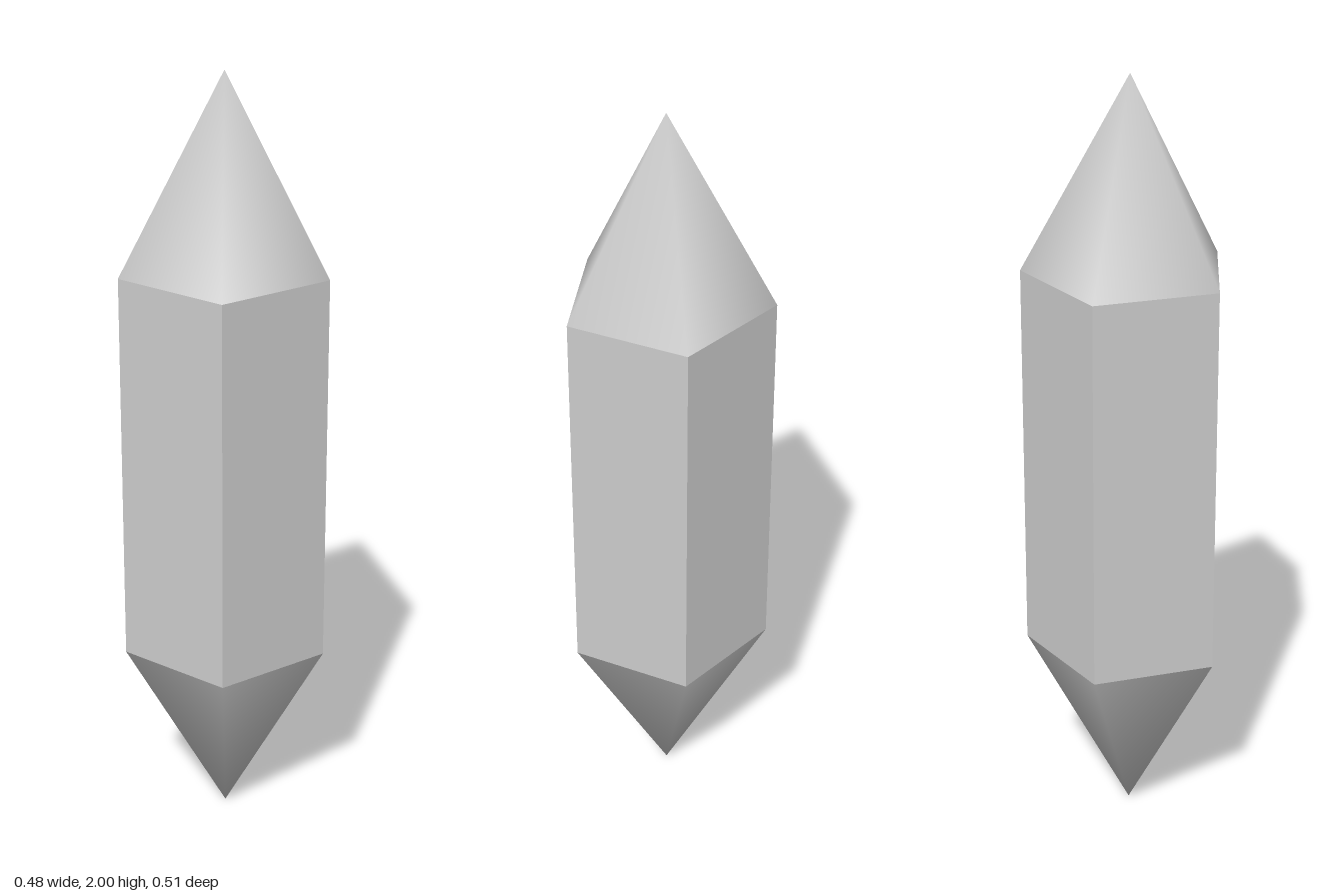
import * as THREE from 'three';
import { mergeVertices } from 'three/addons/utils/BufferGeometryUtils.js';

const SIDES = 5, RADIUS = 0.268, LOW = 0.495, HIGH = 1.51;

export function createModel() {
  const model = new THREE.Group();
  model.name = 'crystal';
  // the pentagon's bounding box, not its centre, sits on the axis
  const centreX = -RADIUS * (1 - Math.cos(Math.PI / SIDES)) / 2;

  const add = (name, geometry, y, flatShading) => {
    const material = new THREE.MeshStandardMaterial({ color: 0xcccccc, flatShading, side: THREE.DoubleSide });
    const mesh = new THREE.Mesh(geometry, material);
    mesh.name = name;
    mesh.position.set(centreX, y, 0);
    model.add(mesh);
  };

  // smooth-shaded point with one corner towards +x
  const point = (height) => {
    const cone = new THREE.ConeGeometry(RADIUS, height, SIDES, 1, true, Math.PI / 2);
    cone.deleteAttribute('normal');
    cone.deleteAttribute('uv');
    const smooth = mergeVertices(cone, 1e-4);
    smooth.computeVertexNormals();
    return smooth;
  };

  // flat-sided shaft
  const shaft = new THREE.CylinderGeometry(RADIUS, RADIUS, HIGH - LOW, SIDES, 1, true, Math.PI / 2);
  add('shaft', shaft, (LOW + HIGH) / 2, true);

  // upper and lower points
  add('upperPoint', point(2 - HIGH), (2 + HIGH) / 2, false);
  add('lowerPoint', point(LOW).rotateX(Math.PI), LOW / 2, false);

  return model;
}
